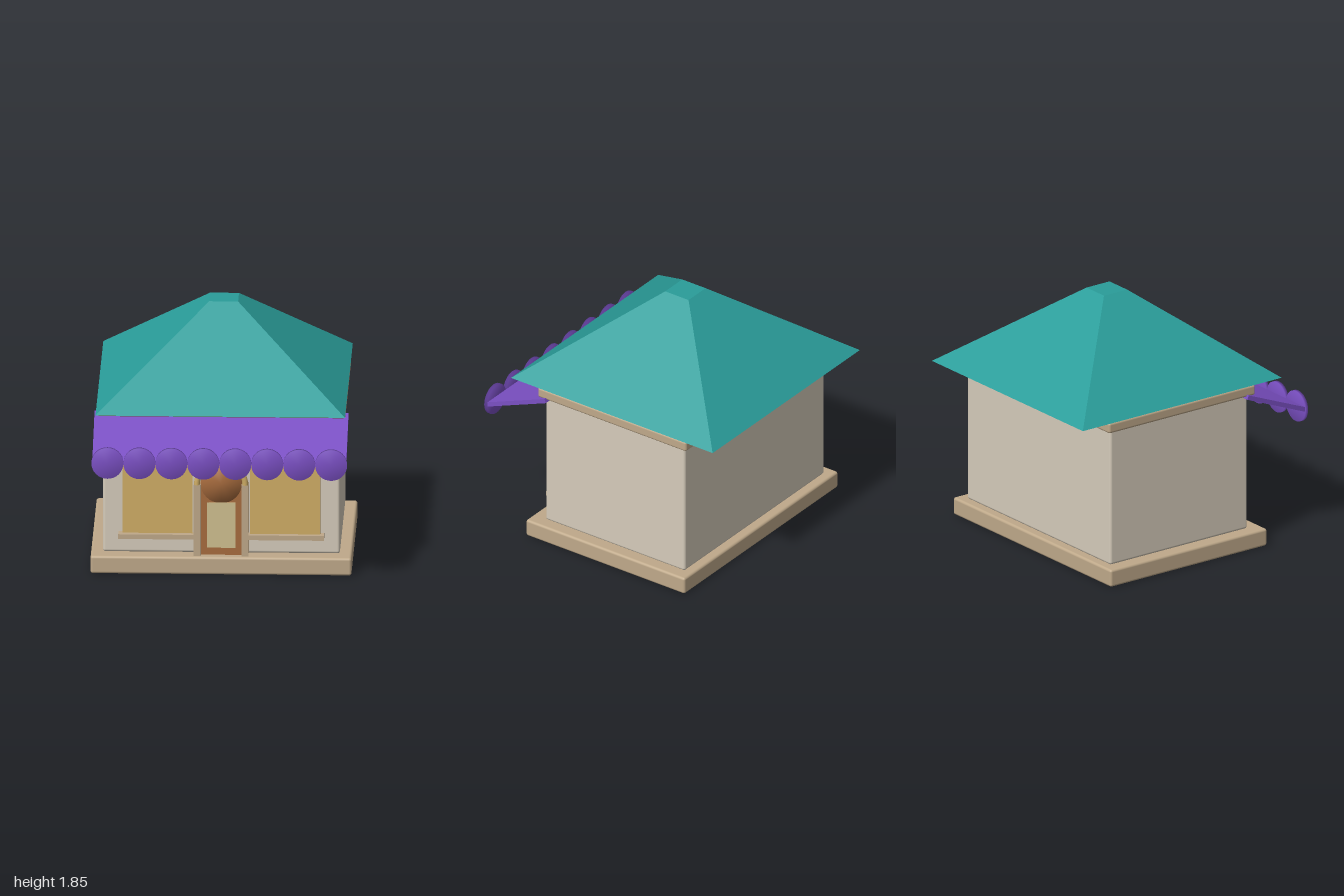
import * as THREE from 'three';
import { RoundedBoxGeometry } from 'three/addons/geometries/RoundedBoxGeometry.js';
import { mergeVertices } from 'three/addons/utils/BufferGeometryUtils.js';

const mat = (name, color, extra = {}) => new THREE.MeshStandardMaterial({ name, color, ...extra });

export function createModel() {
  const stone = mat('tan stone', 0xbfa98a);
  const plaster = mat('cream plaster', 0xd6ccbb);
  const teal = mat('teal roof', 0x2a9d9a, { flatShading: true });
  const purple = mat('purple awning', 0x7b50c4);
  const gold = mat('gold', 0xd0ae66);
  const wood = mat('brown wood', 0xa86c3e);
  const pane = mat('pale door pane', 0xd0c090);

  const model = new THREE.Group();
  model.name = 'shop';

  const add = (name, geometry, material, x, y, z) => {
    const mesh = new THREE.Mesh(geometry, material);
    mesh.name = name;
    mesh.position.set(x, y, z);
    model.add(mesh);
    return mesh;
  };
  // Boxes are given by their [min, max] extents
  const size = (r) => r[1] - r[0];
  const mid = (r) => (r[0] + r[1]) / 2;
  const box = (name, material, x, y, z, radius = 0) => add(name,
    radius ? new RoundedBoxGeometry(size(x), size(y), size(z), 3, radius)
      : new THREE.BoxGeometry(size(x), size(y), size(z)),
    material, mid(x), mid(y), mid(z));
  // Flat disc facing +z, with normals blended across the rim
  const disc = (radius, depth) => {
    const g = new THREE.CylinderGeometry(radius, radius, depth, 32).rotateX(Math.PI / 2);
    g.deleteAttribute('normal');
    g.deleteAttribute('uv');
    const smooth = mergeVertices(g);
    smooth.computeVertexNormals();
    return smooth;
  };

  // Main body
  box('base', stone, [-0.93, 0.93], [0, 0.13], [-0.78, 0.62], 0.018);
  box('walls', plaster, [-0.845, 0.845], [0.13, 1.17], [-0.72, 0.51], 0.02);
  box('cornice', stone, [-0.885, 0.885], [1.15, 1.23], [-0.76, 0.55], 0.018);

  // Truncated pyramid roof
  const roof = new THREE.CylinderGeometry(0.103 * Math.SQRT2, 0.889 * Math.SQRT2, 0.615, 4, 1);
  add('roof', roof.rotateY(Math.PI / 4), teal, 0, 1.5375, -0.11);

  // Sloping awning with a scalloped front edge
  const awning = add('awning', new THREE.BoxGeometry(1.81, 0.033, 0.558), purple, 0, 1.05, 0.725);
  awning.rotation.x = 0.385;
  for (let i = 0; i < 8; i++) {
    add('awningScallop', disc(0.114, 0.025), purple, -0.797 + i * 0.2277, 0.942, 0.987);
  }

  // Door with a round top, pane and gold arch
  box('door', wood, [-0.145, 0.145], [0.13, 0.665], [0.49, 0.555]);
  add('doorTop', disc(0.147, 0.07), wood, 0, 0.665, 0.53);
  box('doorPane', pane, [-0.102, 0.102], [0.187, 0.522], [0.563, 0.571]);
  add('doorArch', new THREE.TorusGeometry(0.172, 0.021, 12, 32, Math.PI), gold, 0, 0.66, 0.579);

  // Door posts, windows and sills on both sides
  for (const s of [-1, 1]) {
    const span = (a, b) => (s > 0 ? [a, b] : [-b, -a]);
    box('doorPost', stone, span(0.145, 0.195), [0.13, 0.66], [0.49, 0.595]);
    box('window', gold, span(0.205, 0.705), [0.28, 0.84], [0.49, 0.545]);
    box('windowSill', stone, span(0.175, 0.733), [0.25, 0.285], [0.49, 0.585]);
  }
  return model;
}
